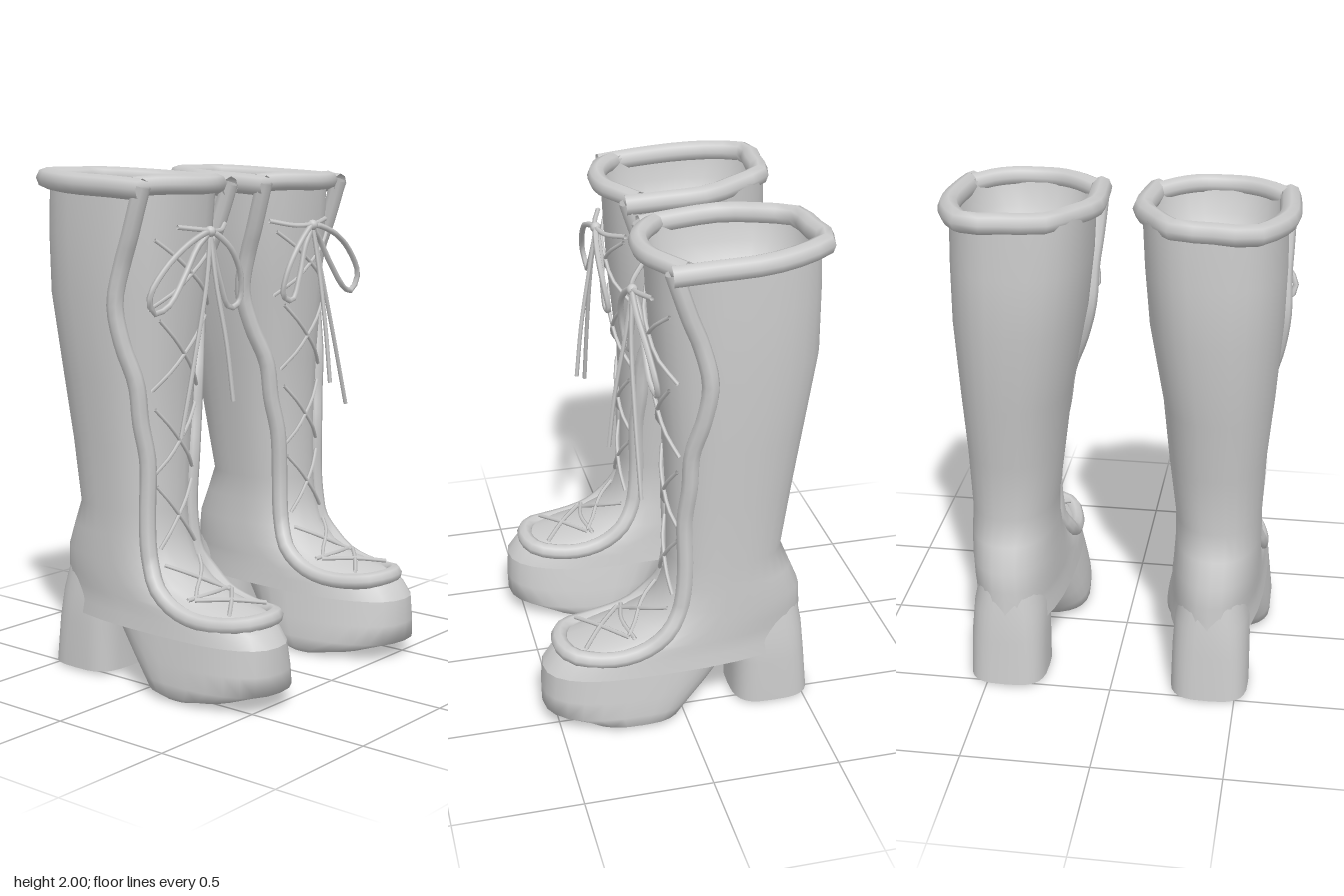
import * as THREE from 'three';

const mat = new THREE.MeshStandardMaterial({ color: 0xcccccc, side: THREE.DoubleSide });
const SEG = 28;

// Horizontal sections, bottom to top: y, centre x, half width, back z, widest z, front z, roundness
const SHELL = [
  [0.25, 0.402, 0.198, -0.514, 0.1, 0.55, 2.4],
  [0.3, 0.402, 0.19, -0.51, 0.08, 0.515, 2.4],
  [0.335, 0.403, 0.186, -0.507, 0.05, 0.47, 2.4],
  [0.365, 0.404, 0.182, -0.505, -0.02, 0.3, 2.3],
  [0.42, 0.405, 0.178, -0.501, -0.1, 0.17, 2.3],
  [0.5, 0.409, 0.173, -0.494, -0.15, 0.085, 2.3],
  [0.6, 0.412, 0.17, -0.452, -0.16, 0.05, 2.3],
  [0.7, 0.411, 0.17, -0.41, -0.16, 0.04, 2.3],
  [0.95, 0.4, 0.19, -0.448, -0.17, 0.04, 2.3],
  [1.2, 0.395, 0.213, -0.487, -0.18, 0.05, 2.3],
  [1.52, 0.375, 0.25, -0.538, -0.2, 0.085, 2.4],
  [1.75, 0.365, 0.262, -0.538, -0.2, 0.1, 2.5],
  [1.96, 0.357, 0.264, -0.53, -0.2, 0.11, 2.6],
];
const FOREFOOT = [
  [0.005, 0.395, 0.19, 0.09, 0.18, 0.27, 3],
  [0.03, 0.395, 0.22, -0.01, 0.17, 0.42, 2.6],
  [0.075, 0.395, 0.222, -0.055, 0.15, 0.555, 2.4],
  [0.15, 0.397, 0.213, -0.125, 0.12, 0.557, 2.4],
  [0.25, 0.402, 0.198, -0.21, 0.1, 0.55, 2.4],
];
const HEEL = [
  [0.015, 0.408, 0.155, -0.535, -0.37, -0.218, 3.2],
  [0.2, 0.408, 0.153, -0.519, -0.35, -0.212, 3],
  [0.32, 0.407, 0.147, -0.509, -0.32, -0.19, 2.7],
  [0.45, 0.409, 0.12, -0.484, -0.3, -0.15, 2.5],
];

// Mirrors a point for its side; both boots lean a little the same way towards the foot
const placeX = (side, x, y) => side * x + 0.016 * THREE.MathUtils.clamp((1.7 - y) / 0.9, 0, 1);

// Section at any height of the shell
function sectionAt(y) {
  let i = 0;
  while (i < SHELL.length - 2 && SHELL[i + 1][0] < y) i++;
  const t = THREE.MathUtils.clamp((y - SHELL[i][0]) / (SHELL[i + 1][0] - SHELL[i][0]), 0, 1);
  return SHELL[i].map((v, k) => v + (SHELL[i + 1][k] - v) * t);
}

// Rounded section point at angle a (0 = outer side, PI/2 = front); the toe turns slightly outward
function ringPoint([y, cx, rx, zB, zc, zF, p], a) {
  const c = Math.cos(a), s = Math.sin(a);
  const e = (v) => Math.sign(v) * Math.abs(v) ** (2 / p);
  const z = zc + e(s) * (s > 0 ? zF - zc : zc - zB);
  return [cx + rx * e(c) + 0.06 * Math.max(0, z - 0.2), y, z];
}

// Half width of the shell at depth z, and front depth at sideways offset dx
function halfWidth(y, z) {
  const [, , rx, , zc, zF, p] = sectionAt(y);
  const u = Math.min(Math.max(z - zc, 0) / (zF - zc), 0.97);
  return rx * (1 - u ** p) ** (1 / p);
}
function frontDepth(y, dx) {
  const [, , rx, , zc, zF, p] = sectionAt(y);
  return zc + (zF - zc) * (1 - Math.min(Math.abs(dx / rx), 0.98) ** p) ** (1 / p);
}

// Skin through sections, closed by a flat bottom
function loft(sections, side) {
  const pos = [], idx = [];
  const tri = (a, b, c) => (side > 0 ? idx.push(a, b, c) : idx.push(a, c, b));
  const addRing = (s) => {
    for (let i = 0; i < SEG; i++) {
      const [x, y, z] = ringPoint(s, (i / SEG) * Math.PI * 2);
      pos.push(placeX(side, x, y), y, z);
    }
  };
  sections.forEach(addRing);
  for (let r = 0; r < sections.length - 1; r++) {
    for (let i = 0; i < SEG; i++) {
      const a = r * SEG + i, b = r * SEG + ((i + 1) % SEG);
      tri(a, a + SEG, b);
      tri(b, a + SEG, b + SEG);
    }
  }
  const base = pos.length / 3, s = sections[0];
  addRing(s);
  pos.push(placeX(side, s[1], s[0]), s[0], s[4]);
  for (let i = 0; i < SEG; i++) tri(base + SEG, base + i, base + ((i + 1) % SEG));
  const g = new THREE.BufferGeometry();
  g.setAttribute('position', new THREE.Float32BufferAttribute(pos, 3));
  g.setIndex(idx);
  g.computeVertexNormals();
  return g;
}

function makeBoot(side) {
  const boot = new THREE.Group();
  const add = (name, geo) => {
    const m = new THREE.Mesh(geo, mat);
    m.name = name;
    boot.add(m);
    return m;
  };
  const tube = (name, pts, r, steps = 12, sides = 5, closed = false) => {
    const curve = new THREE.CatmullRomCurve3(
      pts.map(([x, y, z]) => new THREE.Vector3(placeX(side, x, y), y, z)), closed, 'centripetal');
    return add(name, new THREE.TubeGeometry(curve, steps, r, sides, closed));
  };

  // Leather body, platform and block heel
  add('shaftAndUpper', loft(SHELL, side));
  add('platformSole', loft(FOREFOOT, side));
  add('blockHeel', loft(HEEL, side));

  // Hollow lining inside the opening: height and share of the section
  const bowl = [[1.68, 0.08], [1.685, 0.3], [1.71, 0.55], [1.76, 0.77], [1.84, 0.92], [1.95, 0.98]];
  add('lining', loft(bowl.map(([y, k]) => {
    const [, cx, rx, zB, zc, zF, p] = sectionAt(y);
    return [y, cx, rx * k, zc + (zB - zc) * k, zc, zc + (zF - zc) * k, p];
  }), side));

  // Padded collar: angular back part running into the trim, front part on the tongue
  tube('collarBack', [[0.612, 1.925, 0.075], [0.622, 1.935, -0.06], [0.624, 1.945, -0.27], [0.58, 1.955, -0.42],
    [0.51, 1.96, -0.518], [0.37, 1.96, -0.51], [0.235, 1.96, -0.492], [0.165, 1.955, -0.39],
    [0.095, 1.945, -0.24], [0.098, 1.935, -0.06], [0.11, 1.925, 0.075]], 0.041, 20, 8);
  tube('collarFront', [[0.6, 1.935, 0.02], [0.53, 1.942, 0.075], [0.45, 1.942, 0.115], [0.36, 1.94, 0.127],
    [0.27, 1.942, 0.115], [0.195, 1.942, 0.075], [0.12, 1.935, 0.02]], 0.037, 14, 8);

  // Padded trim down both edges and round the toe: half width, height, depth
  const edge = [[1.65, -0.035], [1.5, -0.068], [1.35, -0.05], [1.2, -0.015],
    [1.05, -0.01], [0.9, 0.003], [0.7, 0], [0.58, 0.008], [0.5, 0.025]];
  const outer = [[0.25, 1.94, 0.07], [0.248, 1.85, 0.04], [0.243, 1.75, 0.005],
    ...edge.map(([y, z]) => [halfWidth(y, z) + 0.008, y, z]),
    [0.16, 0.42, 0.075], [0.162, 0.36, 0.15], [0.16, 0.33, 0.24], [0.143, 0.322, 0.34], [0.1, 0.33, 0.44]];
  const inner = outer.map(([w, y, z]) => [-w, y, z]).reverse();
  const path = [...outer, [0, 0.335, 0.475], ...inner];
  tube('edgeTrim', path.map(([w, y, z]) => [sectionAt(y)[1] + w, y, z]), 0.033, 90, 8);

  // Crossed laces up the tongue: bottom y, top y, half span
  const crosses = [[0.5, 0.39, 0.1], [0.56, 0.8, 0.1], [0.84, 1.1, 0.115], [1.17, 1.44, 0.13], [1.48, 1.74, 0.17]];
  for (const [y0, y1, w] of crosses) {
    for (const k of [-1, 1]) {
      const pts = [];
      for (let i = 0; i <= 4; i++) {
        const y = y0 + ((y1 - y0) * i) / 4, dx = k * w * (i / 2 - 1);
        pts.push([sectionAt(y)[1] + dx, y, frontDepth(y, dx) + 0.012]);
      }
      tube('crossLace', pts, 0.008, 8);
    }
  }
  // Laces over the instep
  for (const k of [-1, 1]) {
    tube('toeLace', [[0.404 - k * 0.11, 0.365, 0.39], [0.404, 0.385, 0.31], [0.404 + k * 0.11, 0.39, 0.22]], 0.009, 8);
  }
  tube('toeLace', [[0.28, 0.39, 0.2], [0.404, 0.4, 0.225], [0.53, 0.39, 0.2]], 0.009, 8);
  tube('topLace', [[0.14, 1.785, 0.07], [0.24, 1.765, 0.13], [0.33, 1.77, 0.15], [0.46, 1.785, 0.11]], 0.01);

  // Bow: knot, two loops and two hanging ends
  const knot = [0.32, 1.765, 0.15];
  const ball = add('bowKnot', new THREE.SphereGeometry(0.022, 8, 6));
  ball.position.set(side * knot[0], knot[1], knot[2]);
  tube('bowLoop', [knot, [0.22, 1.7, 0.165], [0.145, 1.58, 0.155], [0.14, 1.49, 0.14], [0.2, 1.47, 0.14],
    [0.25, 1.57, 0.14], [0.285, 1.68, 0.14]], 0.012, 24, 5, true);
  tube('bowLoop', [knot, [0.45, 1.73, 0.165], [0.58, 1.64, 0.155], [0.65, 1.54, 0.14], [0.62, 1.48, 0.13],
    [0.55, 1.5, 0.14], [0.46, 1.6, 0.14], [0.38, 1.71, 0.14]], 0.012, 24, 5, true);
  tube('bowEnd', [knot, [0.36, 1.58, 0.165], [0.44, 1.3, 0.17], [0.525, 1.01, 0.17]], 0.009);
  tube('bowEnd', [knot, [0.325, 1.58, 0.18], [0.315, 1.35, 0.22], [0.31, 1.13, 0.245]], 0.009);
  return boot;
}

export function createModel() {
  const model = new THREE.Group();
  model.name = 'lacedPlatformBoots';
  for (const side of [1, -1]) {
    const boot = makeBoot(side);
    boot.name = side > 0 ? 'leftBoot' : 'rightBoot';
    model.add(boot);
  }
  return model;
}
